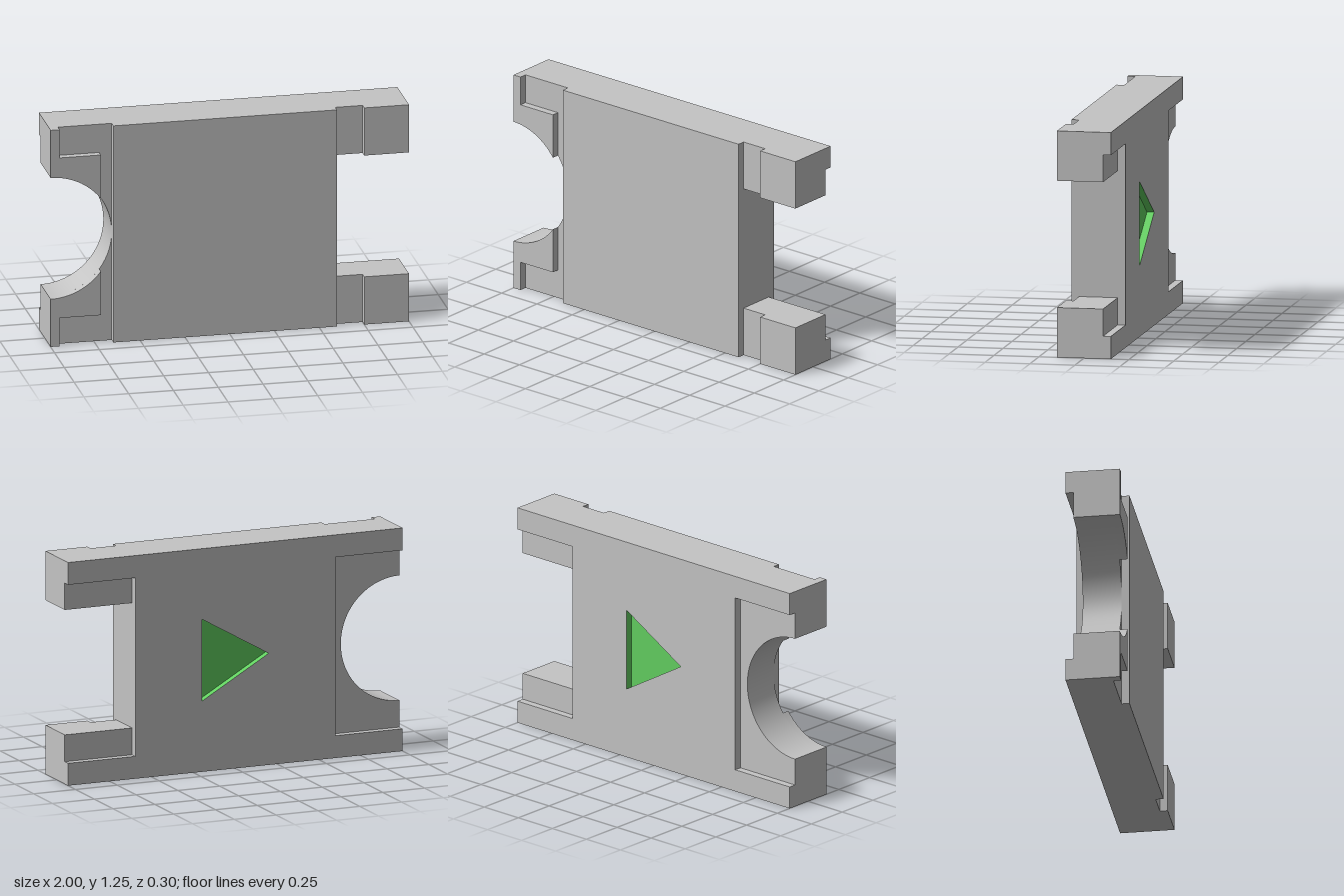
import * as THREE from 'three';
import { toCreasedNormals } from 'three/addons/utils/BufferGeometryUtils.js';

const H = 1.25, MID = H / 2, R = 0.35;   // height, mid-height, bite radius
const Z = 0.15, STEP = 0.107;            // outer face and recess floor
const NOTCH = 0.597, ARM = 0.275;        // notch edge, arm height

export function createModel() {
  const grey = new THREE.MeshStandardMaterial({ color: 0xc4c4c4 });
  grey.name = 'light grey';
  const green = new THREE.MeshStandardMaterial({ color: 0x62cf60 });
  green.name = 'green';

  const group = new THREE.Group();
  group.name = 'notchedPlate';

  const polygon = (pts) => new THREE.Shape(pts.map(([x, y]) => new THREE.Vector2(x, y)));
  const rect = (x0, x1, y0, y1) => polygon([[x0, y0], [x1, y0], [x1, y1], [x0, y1]]);
  // points along the round bite on the left edge
  const arc = (from, to, n) => Array.from({ length: n + 1 }, (_, i) => {
    const a = from + (to - from) * i / n;
    return [-1 + R * Math.cos(a), MID + R * Math.sin(a)];
  });
  const slab = (name, shape, z0, z1, material = grey) => {
    const geo = new THREE.ExtrudeGeometry(shape, { depth: z1 - z0, bevelEnabled: false });
    geo.translate(0, 0, z0);
    const mesh = new THREE.Mesh(toCreasedNormals(geo, 0.5), material);
    mesh.name = name;
    group.add(mesh);
    return mesh;
  };

  // core: round bite on one end, square notch on the other
  slab('core', polygon([
    [-1, 0], [1, 0], [1, ARM], [NOTCH, ARM], [NOTCH, H - ARM], [1, H - ARM], [1, H], [-1, H],
    ...arc(Math.PI / 2, -Math.PI / 2, 40),
  ]), -STEP, STEP);

  // back layer: end recesses and a triangular pocket with green walls
  const lip = 0.125;
  const triangle = [[0.2, 0.395], [0.2, 0.855], [-0.2, MID]];
  const backShape = polygon([
    [-1, 0], [1, 0], [1, lip], [NOTCH, lip], [NOTCH, H - lip], [1, H - lip], [1, H],
    [-1, H], [-1, H - lip], [-0.6, H - lip], [-0.6, lip], [-1, lip],
  ]);
  backShape.holes.push(polygon(triangle));
  const back = slab('backLayer', backShape, -Z, -STEP, [grey, green]);
  const count = back.geometry.attributes.position.count;
  back.geometry.clearGroups();
  back.geometry.addGroup(0, count - 18, 0);
  back.geometry.addGroup(count - 18, 18, 1);   // the three pocket walls come last
  slab('arrowFloor', polygon(triangle), -STEP - 0.003, -STEP, green);

  // front layer: main panel, arm pads and stepped corner ridges
  slab('frontPanel', rect(-0.65, NOTCH, 0, H), STEP, Z);
  const ridge = [
    [-1, 0], [-0.95, 0], [-0.95, 0.163], [-0.72, 0.163],
    ...arc(-Math.asin(0.6), -Math.PI / 2, 16),
  ];
  for (const [side, flip] of [['lower', (y) => y], ['upper', (y) => H - y]]) {
    slab(side + 'ArmPad', rect(0.75, 1, flip(0), flip(ARM)), STEP, Z);
    slab(side + 'CornerRidge', polygon(ridge.map(([x, y]) => [x, flip(y)])), STEP, Z);
  }
  return group;
}
